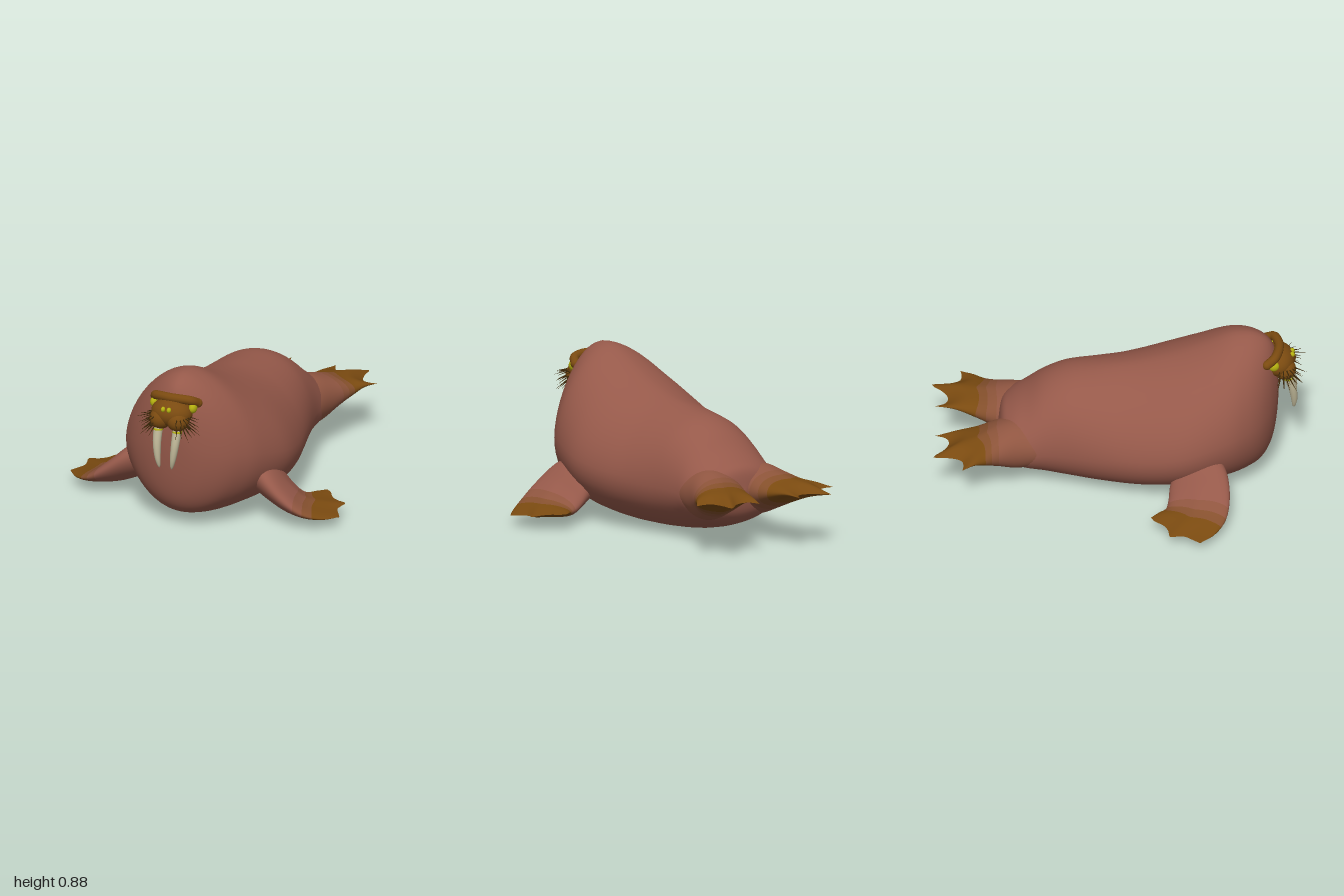
import * as THREE from 'three';

const HIDE = 0x96594a, BROWN = 0x7a4a10, YELLOW = 0xb4b010, IVORY = 0xbdb596, DARK = 0x3a2608;
const mat = (color) => new THREE.MeshStandardMaterial({ color, side: THREE.DoubleSide });
const V = (x, y, z) => new THREE.Vector3(x, y, z);
const curve = (pts) => new THREE.CatmullRomCurve3(pts.map((p) => V(p[0], p[1], p[2] ?? 0)), false, 'catmullrom', 0.5);

function add(parent, name, geometry, color, pos, scale) {
  const mesh = new THREE.Mesh(geometry, mat(color));
  mesh.name = name;
  if (pos) mesh.position.set(...pos);
  if (scale) mesh.scale.set(...scale);
  parent.add(mesh);
  return mesh;
}

// Smooth skin over a row of closed rings, always wound to face outward
function loft(rings) {
  const n = rings[0].length, index = [];
  const pts = rings.flat();
  let volume = 0;
  const tri = (a, b, c) => {
    index.push(a, b, c);
    volume += pts[a].dot(V().crossVectors(pts[b], pts[c]));
  };
  for (let i = 0; i < rings.length - 1; i++) {
    for (let j = 0; j < n; j++) {
      const k = (j + 1) % n, a = i * n + j, b = i * n + k;
      tri(a, b, b + n);
      tri(a, b + n, a + n);
    }
  }
  if (volume < 0) index.reverse();
  const g = new THREE.BufferGeometry().setFromPoints(pts);
  g.setIndex(index);
  g.computeVertexNormals();
  g.userData.reversed = volume < 0;
  return g;
}

// Torso: [z, top, bottom, half width] from chest to rump
function torso() {
  const rows = [
    [0.85, 0.58, 0.57, 0.003], [0.846, 0.69, 0.42, 0.06], [0.83, 0.76, 0.27, 0.12], [0.8, 0.82, 0.16, 0.19],
    [0.75, 0.858, 0.09, 0.265], [0.68, 0.875, 0.055, 0.33], [0.58, 0.862, 0.033, 0.39], [0.42, 0.79, 0.018, 0.438],
    [0.28, 0.735, 0.008, 0.449], [0.1, 0.685, 0, 0.42], [-0.1, 0.655, 0.006, 0.366], [-0.28, 0.63, 0.025, 0.317],
    [-0.4, 0.58, 0.048, 0.292], [-0.5, 0.5, 0.075, 0.283], [-0.58, 0.44, 0.11, 0.26], [-0.63, 0.39, 0.17, 0.17],
    [-0.65, 0.29, 0.28, 0.005],
  ];
  const profile = curve(rows.map((r) => [r[0], r[1], r[2]]));
  const width = curve(rows.map((r) => [r[3], 0, 0]));
  const rings = [], steps = 80, n = 56;
  for (let i = 0; i <= steps; i++) {
    const p = profile.getPoint(i / steps), w = width.getPoint(i / steps).x;
    const mid = p.z + (p.y - p.z) * 0.42;
    // The shoulders are pear shaped, the rump is oval
    const power = 2 / (p.x > 0 ? 1.72 : 1.72 + Math.min(0.28, -p.x));
    const ring = [];
    for (let j = 0; j < n; j++) {
      const a = (j / n) * Math.PI * 2, c = Math.cos(a), s = Math.sin(a);
      const e = s > 0 ? power : 1;
      const x = w * Math.sign(c) * Math.abs(c) ** e;
      const y = s > 0 ? mid + (p.y - mid) * s ** e : mid + (mid - p.z) * s;
      ring.push(V(x, y, p.x));
    }
    rings.push(ring);
  }
  return loft(rings);
}

// Webbed flipper between two plan edges [x, z], ending in a toed tip line;
// body holds [centre y, half thickness, rise of the first edge over the second]
function flipper(parent, name, side, { edgeA, edgeB, tip, body, bands }) {
  const flat = (e) => curve(e.map(([x, z]) => [x, 0, z]));
  const A = flat(edgeA), B = flat(edgeB), T = flat(tip), K = curve(body);
  const endA = A.getPoint(1), endB = B.getPoint(1);
  const rings = [], steps = 30, n = 64;
  for (let i = 0; i <= steps; i++) {
    const t = i / steps, a = A.getPoint(t), b = B.getPoint(t), k = K.getPoint(t), ring = [];
    for (let j = 0; j < n; j++) {
      const ang = (j / n) * Math.PI * 2, s = (1 - Math.cos(ang)) / 2;
      const p = a.clone().lerp(b, s);
      const toes = T.getPoint(s).sub(endA.clone().lerp(endB, s));
      p.addScaledVector(toes, t ** 3);
      p.y = k.x + Math.max(0, k.y) * Math.sin(ang) + k.z * (0.5 - s);
      p.x *= side;
      ring.push(p);
    }
    rings.push(ring);
  }
  const g = loft(rings), all = Array.from(g.index.array), per = n * 6;
  const group = new THREE.Group();
  group.name = name;
  parent.add(group);
  // The hide darkens to brown toward the toes
  bands.forEach(([from, to, mix], i) => {
    const part = g.clone();
    const lo = Math.round(from * steps), hi = Math.round(to * steps);
    part.setIndex(g.userData.reversed
      ? all.slice((steps - hi) * per, (steps - lo) * per)
      : all.slice(lo * per, hi * per));
    add(group, name + ['Root', 'Middle', 'Web', 'Toes'][i], part, new THREE.Color(HIDE).lerp(new THREE.Color(BROWN), mix));
  });
}

const FRONT = {
  edgeA: [[0.32, 0.53], [0.42, 0.572], [0.53, 0.582], [0.63, 0.56], [0.72, 0.5], [0.79, 0.42]],
  edgeB: [[0.3, 0.3], [0.4, 0.265], [0.46, 0.255], [0.51, 0.24], [0.555, 0.2], [0.6, 0.16]],
  tip: [[0.79, 0.42], [0.765, 0.38], [0.742, 0.34], [0.745, 0.3], [0.752, 0.26], [0.7, 0.25], [0.66, 0.225], [0.63, 0.18], [0.6, 0.16]],
  body: [[0.235, 0.1, 0.06], [0.185, 0.1, 0.08], [0.125, 0.075, 0.06], [0.085, 0.045, 0.02], [0.075, 0.025, -0.02], [0.075, 0, -0.03]],
  bands: [[0, 0.5, 0], [0.5, 0.6, 0.3], [0.6, 0.7, 0.65], [0.7, 1, 1]],
};
const REAR = {
  edgeA: [[0.03, -0.42], [0.01, -0.55], [0.02, -0.66], [0.06, -0.77], [0.1, -0.88], [0.13, -0.985]],
  edgeB: [[0.284, -0.42], [0.3, -0.55], [0.33, -0.65], [0.365, -0.72], [0.4, -0.78], [0.44, -0.845]],
  tip: [[0.13, -0.985], [0.155, -0.93], [0.2, -0.915], [0.255, -0.94], [0.32, -1], [0.328, -0.92], [0.35, -0.855], [0.39, -0.84], [0.44, -0.845]],
  body: [[0.27, 0.12, 0], [0.27, 0.138, 0], [0.277, 0.105, 0], [0.285, 0.066, 0], [0.298, 0.034, 0], [0.292, 0, 0]],
  bands: [[0, 0.4, 0.25], [0.4, 0.5, 0.45], [0.5, 0.6, 0.7], [0.6, 1, 1]],
};

// Curved tusk tapering to a rounded point
function tusk(side) {
  const path = curve([[0.056, 0.63, 0.895], [0.053, 0.54, 0.922], [0.045, 0.46, 0.932], [0.036, 0.398, 0.93]]);
  const rings = [];
  for (let i = 0; i <= 20; i++) {
    const t = i / 20, p = path.getPoint(t), r = 0.026 * Math.sqrt(1 - t ** 3) * (1 - 0.35 * t);
    rings.push(Array.from({ length: 16 }, (_, j) => {
      const a = (j / 16) * Math.PI * 2;
      return V((p.x + r * Math.cos(a)) * side, p.y, p.z + r * Math.sin(a));
    }));
  }
  return loft(rings);
}

export function createModel() {
  const model = new THREE.Group();
  model.name = 'walrus';
  add(model, 'torso', torso(), HIDE);

  const head = new THREE.Group();
  head.name = 'head';
  model.add(head);
  const ball = new THREE.SphereGeometry(1, 28, 20);
  add(head, 'muzzle', ball, BROWN, [0, 0.695, 0.845], [0.115, 0.08, 0.09]);

  // Brow ridge wrapping over the eyes
  const brow = curve([[-0.125, 0.745, 0.785], [-0.095, 0.772, 0.83], [0, 0.78, 0.853], [0.095, 0.772, 0.83], [0.125, 0.745, 0.785]]);
  add(head, 'brow', new THREE.TubeGeometry(brow, 36, 0.025, 12), BROWN);
  for (const x of [-0.125, 0.125]) add(head, 'browEnd', ball, BROWN, [x, 0.745, 0.785], [0.025, 0.025, 0.025]);

  for (const side of [-1, 1]) {
    const label = side > 0 ? 'left' : 'right';
    flipper(model, label + 'FrontFlipper', side, FRONT);
    flipper(model, label + 'RearFlipper', side, REAR);

    add(head, label + 'Cheek', ball, BROWN, [side * 0.05, 0.665, 0.88], [0.06, 0.058, 0.062]);
    add(head, label + 'Eye', ball, YELLOW, [side * 0.113, 0.728, 0.822], [0.022, 0.029, 0.029]);
    add(head, label + 'Nostril', ball, YELLOW, [side * 0.017, 0.735, 0.922], [0.012, 0.015, 0.014]);
    add(head, label + 'Tusk', tusk(side), IVORY);
    add(head, label + 'TuskGum', ball, YELLOW, [side * 0.056, 0.61, 0.9], [0.027, 0.018, 0.027]);

    // Three rows of whiskers fanning out and down from the cheek
    for (let row = 0; row < 3; row++) {
      for (let i = 0; i < 6; i++) {
        const a = -0.25 + i * 0.31;
        const dir = V(side * Math.cos(a), -0.25 - row * 0.28, Math.sin(a)).normalize();
        const start = V(side * (0.052 + 0.045 * Math.cos(a)), 0.69 - row * 0.026, 0.87 + 0.05 * Math.sin(a));
        const length = 0.07 + 0.012 * ((i + row) % 3);
        const whisker = add(head, label + 'Whisker', new THREE.ConeGeometry(0.0045, length, 6), DARK);
        whisker.position.copy(start).addScaledVector(dir, length / 2);
        whisker.quaternion.setFromUnitVectors(V(0, 1, 0), dir);
      }
    }
  }
  return model;
}
